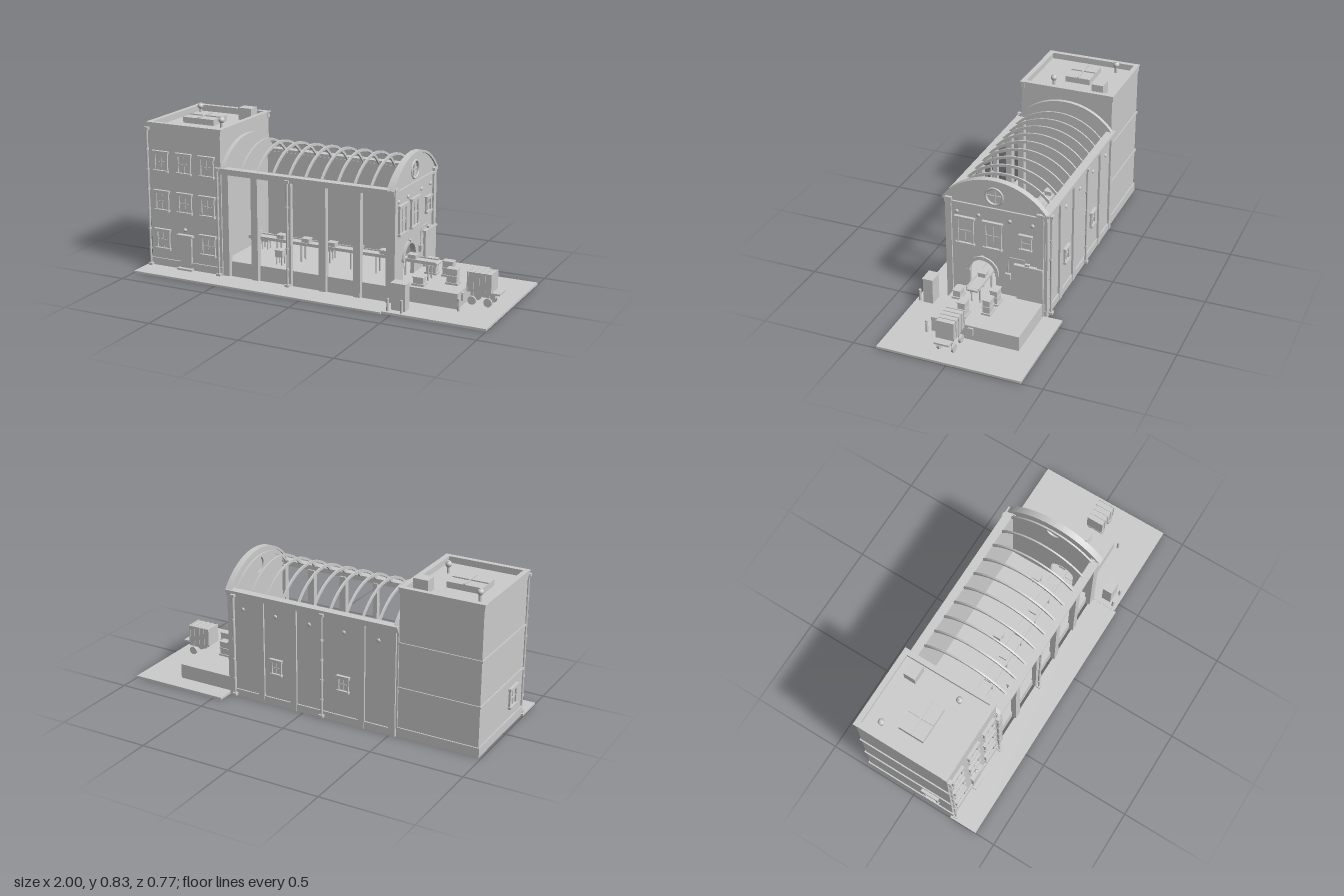
import * as THREE from 'three';

const mat = new THREE.MeshStandardMaterial({ color: 0xcccccc, side: THREE.DoubleSide });

function add(parent, name, geo, x = 0, y = 0, z = 0) {
  const m = new THREE.Mesh(geo, mat);
  m.name = name;
  m.position.set(x, y, z);
  parent.add(m);
  return m;
}

// box given by its limits
function box(parent, name, x0, x1, y0, y1, z0, z1) {
  return add(parent, name, new THREE.BoxGeometry(x1 - x0, y1 - y0, z1 - z0),
    (x0 + x1) / 2, (y0 + y1) / 2, (z0 + z1) / 2);
}

function cyl(parent, name, r, y0, y1, x, z, n = 16) {
  return add(parent, name, new THREE.CylinderGeometry(r, r, y1 - y0, n), x, (y0 + y1) / 2, z);
}

function sub(parent, name, x = 0, y = 0, z = 0, ry = 0) {
  const g = new THREE.Group();
  g.name = name;
  g.position.set(x, y, z);
  g.rotation.y = ry;
  parent.add(g);
  return g;
}

// curved band between two radii, extruded along local z
function arcBand(r0, r1, a0, a1, depth) {
  const s = new THREE.Shape();
  s.absarc(0, 0, r1, a0, a1, false);
  s.absarc(0, 0, r0, a1, a0, true);
  return new THREE.ExtrudeGeometry(s, { depth, bevelEnabled: false, curveSegments: 28 });
}

// framed sash window facing local +z, centred on its opening
function sashWindow(parent, x, y, z, w, h, ry = 0) {
  const g = sub(parent, 'window', x, y, z, ry), a = w / 2, b = h / 2, t = w * 0.13;
  box(g, 'pane', -a, a, -b, b, 0, 0.003);
  for (const s of [-1, 1]) box(g, 'jamb', s * a - t / 2, s * a + t / 2, -b, b, 0, 0.01);
  box(g, 'mullion', -t / 4, t / 4, -b, b, 0, 0.006);
  box(g, 'sashBar', -a, a, -t / 3, t / 3, 0, 0.007);
  box(g, 'lintel', -a - t, a + t, b, b + 0.016, 0, 0.014);
  box(g, 'lintelCap', -a - t * 1.4, a + t * 1.4, b + 0.012, b + 0.018, 0, 0.017);
  box(g, 'sill', -a - t, a + t, -b - 0.012, -b, 0, 0.017);
}

// rain pipe with hopper, clips and shoe
function downpipe(parent, x, z, top) {
  const g = sub(parent, 'downpipe', x, 0, z);
  cyl(g, 'pipe', 0.006, 0.01, top, 0, 0, 10);
  box(g, 'hopper', -0.012, 0.012, top - 0.015, top, -0.01, 0.01);
  box(g, 'shoe', -0.012, 0.012, 0.008, 0.022, -0.012, 0.012);
  for (let y = 0.1; y < top - 0.05; y += 0.11) cyl(g, 'clip', 0.009, y, y + 0.01, 0, 0, 10);
}

function crate(parent, x, y, z, w, h, d) {
  box(parent, 'crate', x - w / 2, x + w / 2, y, y + h, z - d / 2, z + d / 2);
  box(parent, 'crateLid', x - w / 2 - 0.003, x + w / 2 + 0.003, y + h - 0.006, y + h, z - d / 2 - 0.003, z + d / 2 + 0.003);
}

function tiePlate(parent, x, y, z, ry) {
  const m = add(parent, 'tiePlate', new THREE.SphereGeometry(0.011, 12, 8), x, y, z);
  m.rotation.y = ry;
  m.scale.z = 0.6;
}

function buildGround(root) {
  const g = sub(root, 'ground');
  box(g, 'yardSlab', 0.45, 1, 0, 0.012, -0.387, 0.375);
  box(g, 'pavement', -1, 0.45, 0, 0.01, 0.23, 0.387);
  box(g, 'loadingDock', 0.45, 0.775, 0.005, 0.092, -0.285, 0.182);
  for (const z of [0.117, -0.032]) box(g, 'dockBumper', 0.775, 0.785, 0.042, 0.083, z - 0.013, z + 0.013);
}

function buildTower(root) {
  const g = sub(root, 'officeTower');
  box(g, 'walls', -0.98, -0.54, 0, 0.765, -0.285, 0.235);
  box(g, 'plinth', -0.987, -0.535, 0, 0.05, -0.292, 0.243);
  for (const y of [0.26, 0.5]) {
    box(g, 'backBand', -0.985, -0.54, y, y + 0.012, -0.291, -0.28);
    box(g, 'sideBand', -0.987, -0.975, y, y + 0.012, -0.291, 0.235);
  }
  // parapet round the sunken roof
  for (const z of [-0.279, 0.228]) {
    box(g, 'parapet', -0.985, -0.535, 0.765, 0.795, z - 0.011, z + 0.011);
    box(g, 'coping', -0.99, -0.53, 0.794, 0.8, z - 0.014, z + 0.014);
  }
  for (const x of [-0.975, -0.546]) {
    box(g, 'parapet', x - 0.01, x + 0.01, 0.765, 0.795, -0.285, 0.235);
    box(g, 'coping', x - 0.014, x + 0.014, 0.794, 0.8, -0.29, 0.24);
  }
  // rooftop items
  box(g, 'skylight', -0.885, -0.695, 0.765, 0.797, -0.1, 0.04);
  box(g, 'skylightBar', -0.885, -0.695, 0.797, 0.803, -0.034, -0.026);
  box(g, 'skylightBar', -0.794, -0.786, 0.797, 0.803, -0.1, 0.04);
  box(g, 'roofVentBox', -0.655, -0.575, 0.765, 0.832, -0.22, -0.155);
  for (const [x, z] of [[-0.91, -0.18], [-0.62, 0.08]]) {
    cyl(g, 'ventStem', 0.008, 0.765, 0.81, x, z);
    add(g, 'ventCowl', new THREE.SphereGeometry(0.017, 14, 10), x, 0.813, z);
    cyl(g, 'ventCap', 0.007, 0.825, 0.831, x, z);
  }
  // front windows and door
  for (const x of [-0.905, -0.762, -0.622])
    for (const y of [0.157, 0.372, 0.588])
      if (y > 0.2 || x !== -0.762) sashWindow(g, x, y, 0.235, 0.075, 0.088);
  sashWindow(g, -0.98, 0.16, 0.11, 0.075, 0.085, -Math.PI / 2);
  box(g, 'door', -0.795, -0.725, 0.01, 0.195, 0.235, 0.247);
  box(g, 'doorHood', -0.808, -0.712, 0.193, 0.205, 0.235, 0.26);
  box(g, 'doorStep', -0.805, -0.715, 0.005, 0.02, 0.235, 0.268);
  add(g, 'doorLamp', new THREE.SphereGeometry(0.01, 12, 8), -0.76, 0.232, 0.247);
  downpipe(g, -0.978, 0.254, 0.775);
  downpipe(g, -0.55, 0.254, 0.6);
}

const cz = -0.023, arcY = 0.39, arcR = 0.3475, arcA = 0.649; // barrel roof curve

function buildHall(root) {
  const g = sub(root, 'hall');
  box(g, 'floor', -0.54, 0.45, 0.003, 0.087, -0.285, 0.215);
  box(g, 'backWall', -0.54, 0.45, 0, 0.58, -0.292, -0.27);
  box(g, 'backPlinth', -0.535, 0.45, 0, 0.04, -0.3, -0.28);
  for (const z of [-0.288, 0.232]) {
    box(g, 'eavesBeam', -0.54, 0.455, 0.565, 0.588, z - 0.015, z + 0.015);
    box(g, 'gutter', -0.54, 0.455, 0.585, 0.598, z - 0.023, z + 0.023);
  }
  // piers along both long sides
  for (const x of [-0.513, -0.34, 0.055, 0.25, 0.43]) {
    box(g, 'frontPier', x - 0.019, x + 0.019, 0.005, 0.57, 0.207, 0.24);
    box(g, 'backPier', x - 0.018, x + 0.018, 0, 0.57, -0.303, -0.28);
  }
  box(g, 'frontPost', -0.152, -0.128, 0.005, 0.57, 0.21, 0.235);
  downpipe(g, -0.14, 0.25, 0.58);
  downpipe(g, -0.115, -0.306, 0.58);
  downpipe(g, 0.41, -0.31, 0.58);
  for (const x of [0.36, 0.165, -0.035, -0.235, -0.43]) tiePlate(g, x, 0.5, -0.293, 0);
  for (const x of [0.16, -0.236]) sashWindow(g, x, 0.215, -0.292, 0.055, 0.062, Math.PI);
  // open roof ribs
  for (let i = 0; i < 10; i++)
    add(sub(g, 'roofRib', -0.425 + i * 0.0925, 0.385, cz, Math.PI / 2), 'rib',
      arcBand(0.311, 0.325, 0.67, Math.PI - 0.67, 0.009));
  // gable against the tower
  const inner = sub(g, 'innerGable', -0.535, 0, cz, Math.PI / 2);
  const seg = new THREE.Shape();
  seg.absarc(0, arcY, arcR - 0.006, arcA, Math.PI - arcA, false);
  add(inner, 'gablePanel', new THREE.ExtrudeGeometry(seg, { depth: 0.022, bevelEnabled: false, curveSegments: 28 }));
}

function buildEndWall(root) {
  // local x runs toward -z, local z outward toward +x
  const g = sub(root, 'endWall', 0.43, 0, cz, Math.PI / 2);
  const s = new THREE.Shape();
  s.moveTo(-0.258, 0.01);
  s.lineTo(0.258, 0.01);
  s.lineTo(0.258, 0.6);
  s.absarc(0, arcY, arcR - 0.008, arcA, Math.PI - arcA, false);
  s.lineTo(-0.258, 0.6);
  const door = new THREE.Path();
  const dx = -0.066;
  door.moveTo(dx - 0.07, 0.088);
  door.lineTo(dx - 0.07, 0.2);
  door.absarc(dx, 0.2, 0.07, Math.PI, 0, true);
  door.lineTo(dx + 0.07, 0.088);
  const eye = new THREE.Path();
  eye.absarc(0, 0.645, 0.043, 0, Math.PI * 2, true);
  s.holes.push(door, eye);
  add(g, 'wall', new THREE.ExtrudeGeometry(s, { depth: 0.02, bevelEnabled: false, curveSegments: 28 }));
  add(g, 'gableCoping', arcBand(arcR - 0.012, arcR, arcA - 0.02, Math.PI - arcA + 0.02, 0.035), 0, arcY, -0.005);
  add(g, 'doorArch', arcBand(0.07, 0.088, -0.05, Math.PI + 0.05, 0.03), dx, 0.2, 0);
  box(g, 'keystone', dx - 0.01, dx + 0.01, 0.278, 0.293, 0, 0.035);
  for (const k of [-1, 1]) box(g, 'archFoot', dx + k * 0.079 - 0.009, dx + k * 0.079 + 0.009, 0.193, 0.205, 0, 0.032);
  // round window
  add(g, 'roundFrame', new THREE.TorusGeometry(0.045, 0.006, 8, 36), 0, 0.645, 0.02);
  add(g, 'roundPane', new THREE.CircleGeometry(0.044, 32), 0, 0.645, 0.01);
  box(g, 'roundBar', -0.043, 0.043, 0.643, 0.647, 0.01, 0.016);
  box(g, 'roundBar', -0.002, 0.002, 0.602, 0.688, 0.01, 0.016);
  box(g, 'stringCourse', -0.262, 0.262, 0.57, 0.582, 0, 0.03);
  for (const k of [-1, 1]) {
    box(g, 'cornerPier', k * 0.247 - 0.016, k * 0.247 + 0.016, 0.005, 0.59, 0, 0.03);
    box(g, 'pierCap', k * 0.247 - 0.02, k * 0.247 + 0.02, 0.587, 0.6, -0.005, 0.035);
  }
  sashWindow(g, -0.158, 0.42, 0.02, 0.082, 0.13);
  sashWindow(g, -0.008, 0.42, 0.02, 0.082, 0.13);
  sashWindow(g, 0.168, 0.418, 0.02, 0.055, 0.062);
  for (const z of [0.18, 0.063, -0.105, -0.225]) tiePlate(g, cz - z, 0.523, 0.022, 0);
  // sliding goods door, rail and hoist control
  box(g, 'goodsDoor', 0.122, 0.262, 0.092, 0.282, 0.02, 0.034);
  box(g, 'doorRail', 0.108, 0.262, 0.28, 0.291, 0.02, 0.04);
  box(g, 'railBracket', 0.165, 0.19, 0.291, 0.302, 0.02, 0.034);
  const path = new THREE.CatmullRomCurve3([[0.162, 0.32], [0.085, 0.32], [0.078, 0.313], [0.073, 0.22]]
    .map(([x, y]) => new THREE.Vector3(x, y, 0.027)), false, 'catmullrom', 0.1);
  add(g, 'conduit', new THREE.TubeGeometry(path, 24, 0.003, 8));
  box(g, 'controlBox', 0.06, 0.087, 0.19, 0.225, 0.02, 0.036);
}

function buildWorks(root) {
  const g = sub(root, 'conveyorLine');
  box(g, 'belt', -0.47, 0.605, 0.178, 0.19, 0.004, 0.062);
  for (const z of [0.002, 0.064]) box(g, 'sideRail', -0.47, 0.605, 0.182, 0.196, z - 0.003, z + 0.003);
  for (const x of [-0.47, 0.605]) cyl(g, 'endRoller', 0.009, -0.03, 0.03, x, 0.033).rotation.x = Math.PI / 2;
  for (const m of g.children.filter((c) => c.name === 'endRoller')) m.position.y = 0.184;
  for (let i = 0; i < 8; i++)
    for (const z of [0.01, 0.056]) cyl(g, 'leg', 0.005, 0.087, 0.18, -0.45 + i * 0.145, z, 8);
  for (const x of [-0.44, -0.29, -0.14, 0.012, 0.162, 0.312, 0.47]) crate(g, x, 0.19, 0.033, 0.042, 0.025, 0.038);
  // benches and crates on the hall floor
  for (const [x, z] of [[-0.44, -0.065], [-0.045, -0.065], [0.35, -0.065], [-0.24, 0.14]]) {
    crate(g, x, 0.13, z, 0.042, 0.038, 0.042);
    for (const a of [-1, 1]) for (const b of [-1, 1]) cyl(g, 'benchLeg', 0.004, 0.087, 0.13, x + a * 0.016, z + b * 0.016, 8);
  }
  // dock goods on pallets
  for (const [x, z, n] of [[0.537, -0.062, 2], [0.63, -0.062, 2], [0.55, 0.135, 1], [0.695, 0.043, 2]]) {
    box(g, 'pallet', x - 0.034, x + 0.034, 0.092, 0.102, z - 0.025, z + 0.025);
    for (let i = 0; i < n; i++) crate(g, x, 0.102 + i * 0.037, z, 0.054, 0.036, 0.038);
  }
}

function buildYard(root) {
  const g = sub(root, 'yardItems');
  box(g, 'bin', 0.482, 0.558, 0.012, 0.148, 0.277, 0.33);
  box(g, 'binLid', 0.478, 0.562, 0.147, 0.153, 0.274, 0.333);
  for (const [x, z] of [[0.475, 0.352], [0.55, 0.352], [0.79, 0.2]]) cyl(g, 'bollard', 0.007, 0.01, 0.077, x, z);
  // four-wheeled cart with strapped load
  const c = sub(g, 'cart', 0.87, 0, 0.042);
  box(c, 'deck', -0.085, 0.09, 0.078, 0.087, -0.04, 0.04);
  box(c, 'chassis', -0.07, 0.06, 0.055, 0.079, -0.028, 0.028);
  box(c, 'load', -0.083, 0.047, 0.087, 0.183, -0.045, 0.045);
  for (let i = 0; i < 5; i++) box(c, 'strap', -0.083 + i * 0.031, -0.077 + i * 0.031, 0.087, 0.186, -0.048, 0.048);
  for (const x of [-0.057, 0.028])
    for (const z of [-0.038, 0.038]) {
      const w = cyl(c, 'wheel', 0.022, -0.006, 0.006, x, z, 20);
      w.rotation.x = Math.PI / 2;
      w.position.y = 0.034;
      box(c, 'wheelStrut', x - 0.004, x + 0.004, 0.034, 0.08, z * 0.75 - 0.004, z * 0.75 + 0.004);
    }
}

export function createModel() {
  const root = new THREE.Group();
  root.name = 'factory';
  [buildGround, buildTower, buildHall, buildEndWall, buildWorks, buildYard].forEach((build) => build(root));
  return root;
}
